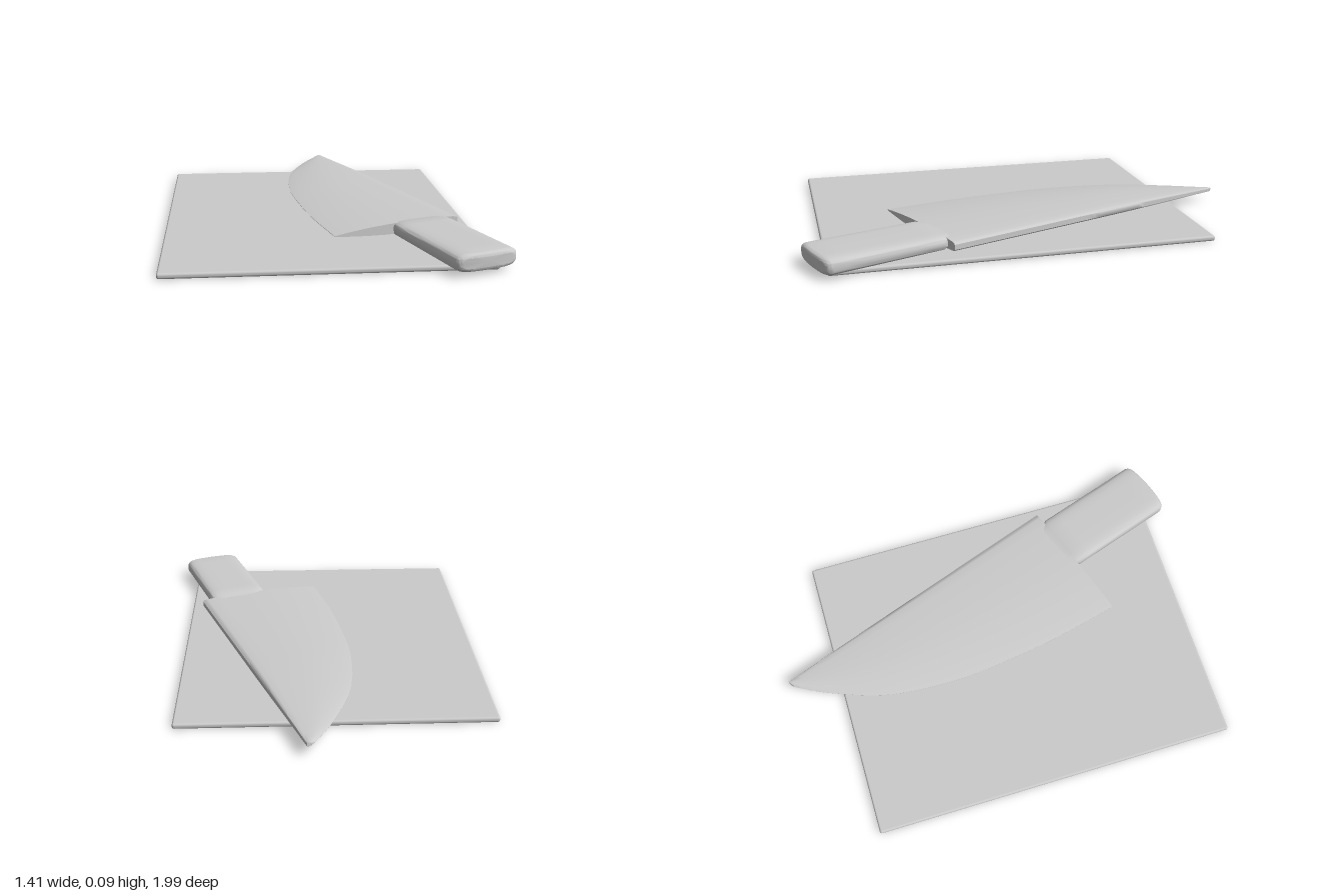
import * as THREE from 'three';
import { toCreasedNormals } from 'three/addons/utils/BufferGeometryUtils.js';
import { RoundedBoxGeometry } from 'three/addons/geometries/RoundedBoxGeometry.js';

const grey = new THREE.MeshStandardMaterial({ color: 0xcccccc });

// Skins a list of rings (counterclockwise seen from +z, running towards +z) and caps both ends.
function loft(rings) {
  const n = rings[0].length;
  const pos = rings.flat().flatMap((p) => p.toArray());
  const index = [];
  for (let i = 0; i < rings.length - 1; i++) {
    for (let j = 0; j < n; j++) {
      const k = (j + 1) % n;
      const a = i * n + j, b = i * n + k, c = b + n, d = a + n;
      index.push(a, b, c, a, c, d);
    }
  }
  [rings[0], rings[rings.length - 1]].forEach((ring, end) => {
    const centre = ring.reduce((s, p) => s.add(p), new THREE.Vector3()).divideScalar(n);
    const ci = pos.length / 3, base = end ? (rings.length - 1) * n : 0;
    pos.push(...centre.toArray());
    for (let j = 0; j < n; j++) {
      const k = (j + 1) % n;
      if (end) index.push(ci, base + j, base + k);
      else index.push(ci, base + k, base + j);
    }
  });
  const g = new THREE.BufferGeometry();
  g.setAttribute('position', new THREE.Float32BufferAttribute(pos, 3));
  g.setIndex(index);
  return toCreasedNormals(g, 0.7);
}

// Blade: straight spine on x = 0, curved cutting edge on -x, tip at z = 0.
function bladeGeometry() {
  const edge = new THREE.SplineCurve([
    [0, 0.012], [0.02, 0.05], [0.148, 0.18], [0.357, 0.339], [0.652, 0.465],
    [0.925, 0.531], [1.165, 0.573], [1.46, 0.605],
  ].map(([z, w]) => new THREE.Vector2(z, w)));
  // fraction of width from the spine, fraction of half thickness
  const section = [
    [0, 0.45], [0.01, 0.68], [0.04, 0.82], [0.12, 0.91], [0.28, 0.98], [0.45, 1],
    [0.6, 0.9], [0.75, 0.68], [0.9, 0.35], [0.97, 0.15], [1, 0.04],
  ];
  const rings = edge.getPoints(56).map(({ x: z, y: w }) => {
    const half = 0.009 + 0.016 * Math.sin(Math.min(z / 0.7, 1) * Math.PI / 2);
    const top = section.map(([v, t]) => new THREE.Vector3(-v * w, t * half, z));
    const bottom = top.map((p) => new THREE.Vector3(p.x, -p.y, p.z)).reverse();
    return [...top, ...bottom];
  });
  return loft(rings);
}

// Handle: soft-cornered bar with a rounded butt, slightly thicker at the butt.
function handleGeometry() {
  const rings = [];
  const ring = (z, inset) => {
    const t = (z - 1.46) / 0.55;
    const a = 0.14 - inset, b = 0.033 + 0.006 * t - inset * 0.7;
    const pts = [];
    for (let j = 0; j < 48; j++) {
      const q = (j / 48) * Math.PI * 2, c = Math.cos(q), s = Math.sin(q);
      const x = Math.sign(c) * Math.abs(c) ** 0.4 * a;
      const y = Math.sign(s) * Math.abs(s) ** 0.55 * b;
      // the butt bulges out a little along its middle
      const bow = t > 0.9 ? 0.012 * (1 - (x / 0.14) ** 2) : 0;
      pts.push(new THREE.Vector3(x - 0.19 - 0.01 * t, y, z + bow));
    }
    rings.push(pts);
  };
  ring(1.43, 0.012);
  ring(1.462, 0.006);
  ring(1.475, 0);
  for (let i = 1; i <= 8; i++) ring(1.475 + i * 0.062, 0);
  for (let i = 1; i <= 7; i++) {
    const q = (i / 7) * Math.PI / 2;
    ring(1.971 + 0.025 * Math.sin(q), 0.025 * (1 - Math.cos(q)));
  }
  return loft(rings);
}

export function createModel() {
  const model = new THREE.Group();
  model.name = 'knifeOnBoard';
  const add = (parent, name, geometry) => {
    const mesh = new THREE.Mesh(geometry, grey);
    mesh.name = name;
    parent.add(mesh);
    return mesh;
  };

  // Thin cutting board
  add(model, 'cuttingBoard', new RoundedBoxGeometry(1.345, 0.024, 1.67, 3, 0.01))
    .position.set(-0.037, 0.012, 0.065);

  // Knife lying across the board, placed by its tip
  const knife = new THREE.Group();
  knife.name = 'knife';
  knife.position.set(0.092, 0.056, -1);
  knife.rotation.y = 0.342;
  add(knife, 'blade', bladeGeometry());
  add(knife, 'handle', handleGeometry());
  model.add(knife);

  return model;
}
